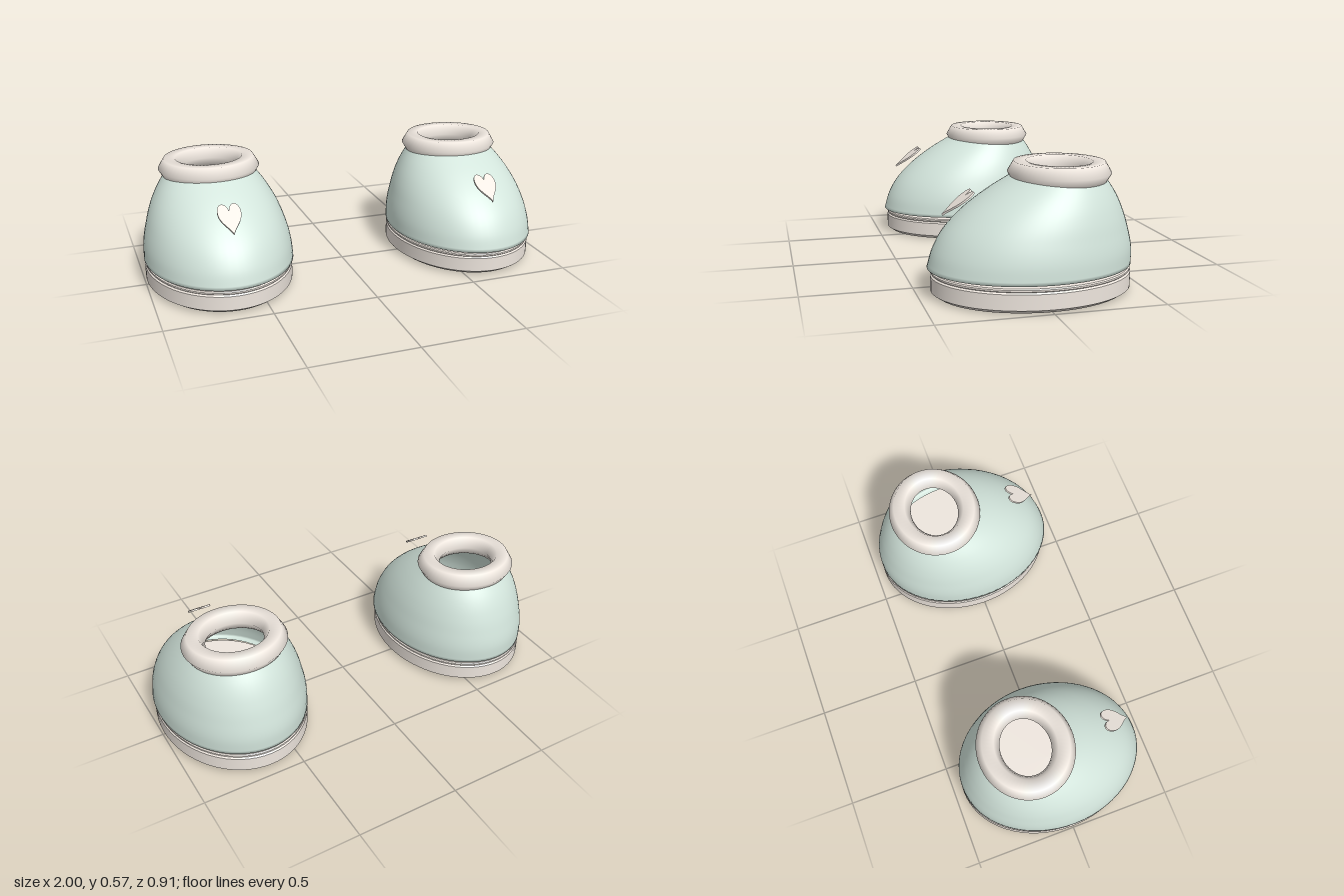
import * as THREE from 'three';
import { toCreasedNormals } from 'three/addons/utils/BufferGeometryUtils.js';

const mint = new THREE.MeshStandardMaterial({ color: 0xd2e4db, side: THREE.DoubleSide });
const cream = new THREE.MeshStandardMaterial({ color: 0xeee6de });
const SEGMENTS = 64;

// Skin a stack of elliptical rings, each [y, front z, back z, half width]
function loft(rings, crease) {
  const pos = [], index = [], row = SEGMENTS + 1;
  rings.forEach(([y, front, back, halfWidth], i) => {
    for (let j = 0; j <= SEGMENTS; j++) {
      const a = ((j % SEGMENTS) / SEGMENTS) * Math.PI * 2;
      pos.push(Math.sin(a) * halfWidth, y, (front + back) / 2 + Math.cos(a) * (front - back) / 2);
      if (i < rings.length - 1 && j < SEGMENTS) {
        const p = i * row + j;
        index.push(p, p + 1, p + row + 1, p, p + row + 1, p + row);
      }
    }
  });
  const geo = new THREE.BufferGeometry();
  geo.setAttribute('position', new THREE.Float32BufferAttribute(pos, 3));
  geo.setIndex(index);
  return toCreasedNormals(geo, crease);
}

// Smooth in-between rings: z values and width follow curves through the key rings
function smoothRings(keys, count) {
  const curve = (k) => new THREE.CatmullRomCurve3(
    keys.map((r) => new THREE.Vector3(r[k], r[0], 0)));
  const curves = [1, 2, 3].map(curve);
  return Array.from({ length: count + 1 }, (_, i) => {
    const pts = curves.map((c) => c.getPoint(i / count));
    return [pts[0].y, pts[0].x, pts[1].x, pts[2].x];
  });
}

// Closed slab from [y, inset] steps around the sole outline
function slab(steps) {
  const rings = steps.map(([y, d]) => [y, 0.443 - d, -0.455 + d, 0.353 - d]);
  const cap = (y) => [y, -0.006, -0.006, 0];
  return loft([cap(steps[0][0]), ...rings, cap(steps.at(-1)[0])], 0.75);
}

function heartGeometry() {
  const s = new THREE.Shape();
  s.moveTo(0, -0.083);
  s.bezierCurveTo(0.012, -0.045, 0.054, -0.015, 0.054, 0.035);
  s.bezierCurveTo(0.054, 0.095, 0.01, 0.098, 0, 0.045);
  s.bezierCurveTo(-0.01, 0.098, -0.054, 0.095, -0.054, 0.035);
  s.bezierCurveTo(-0.054, -0.015, -0.012, -0.045, 0, -0.083);
  return new THREE.ExtrudeGeometry(s, { depth: 0.009, bevelEnabled: false, curveSegments: 14 })
    .translate(0, 0, -0.0045);
}

function createShoe() {
  const shoe = new THREE.Group();
  const add = (name, geo, mat) => {
    const mesh = new THREE.Mesh(geo, mat);
    mesh.name = name;
    shoe.add(mesh);
    return mesh;
  };

  // Sole with bevelled edges and a thin welt on top
  add('sole', slab([[0, 0.026], [0.018, 0], [0.086, 0], [0.094, 0.008]]), cream);
  add('welt', slab([[0.092, 0.008], [0.097, 0.003], [0.104, 0.003], [0.109, 0.008]]), cream);

  // Open upper: toe slopes forward, heel stays steep, small lip turned in below
  const body = smoothRings([
    [0.122, 0.457, -0.456, 0.357],
    [0.2, 0.433, -0.455, 0.351],
    [0.28, 0.387, -0.438, 0.333],
    [0.36, 0.31, -0.413, 0.306],
    [0.435, 0.21, -0.379, 0.267],
    [0.5, 0.1, -0.336, 0.221],
    [0.53, 0.045, -0.313, 0.198],
  ], 30);
  add('upper', loft([[0.12, 0.43, -0.43, 0.333], ...body], 1.8), mint);

  // Padded collar: six-sided tube swept around an oval
  const tube = 0.055, rx = 0.19, rz = 0.172;
  const collar = Array.from({ length: 7 }, (_, i) => {
    const a = ((i % 6) / 6) * Math.PI * 2;
    const c = Math.cos(a) * tube;
    return [0.526 + Math.sin(a) * tube, -0.132 + rz + c, -0.132 - rz - c, rx + c];
  });
  add('collar', loft(collar, 1.2), cream);

  // Heart floating over the toe
  const heart = add('heart', heartGeometry(), cream);
  heart.position.set(0, 0.409, 0.325);
  heart.rotation.x = -0.936;
  return shoe;
}

export function createModel() {
  const model = new THREE.Group();
  model.name = 'pairOfShoes';
  for (const side of [-1, 1]) {
    const shoe = createShoe();
    shoe.name = side > 0 ? 'leftShoe' : 'rightShoe';
    shoe.position.x = side * 0.642;
    model.add(shoe);
  }
  return model;
}
